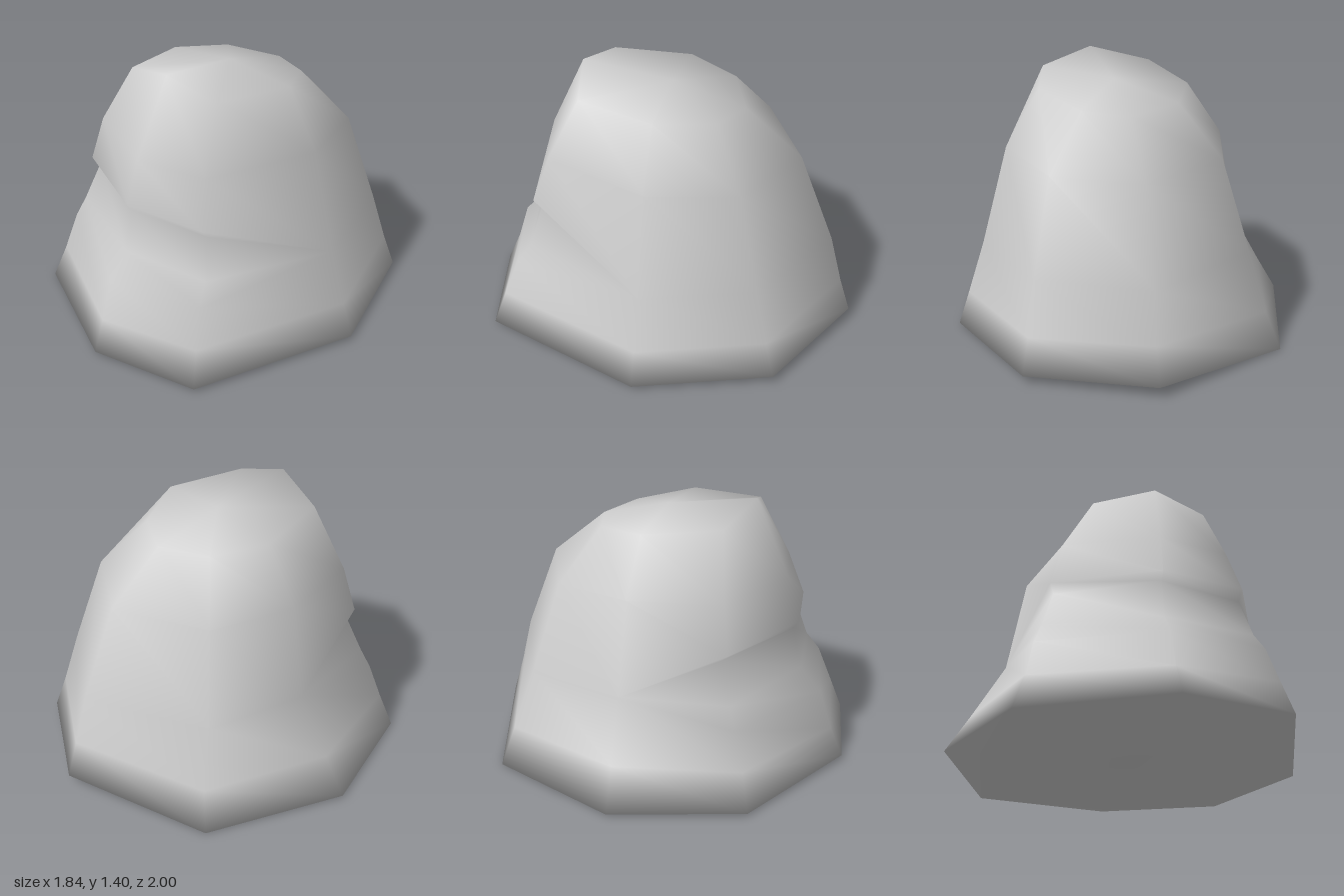
import * as THREE from 'three';
import { mergeVertices } from 'three/addons/utils/BufferGeometryUtils.js';

// Plain profiles, bottom to top: base, foot, waist, shoulder, crown
const back = [[0.08, 0.06, -1], [0.08, 0.25, -0.94], [0.07, 0.51, -0.87], [0.06, 0.98, -0.68], [0.06, 1.23, -0.38]];
const backLeft = [[0.69, 0.04, -0.69], [0.65, 0.22, -0.64], [0.6, 0.5, -0.57], [0.49, 0.98, -0.45], [0.29, 1.25, -0.28]];
const left = [[0.92, 0.02, 0], [0.86, 0.2, 0], [0.77, 0.48, 0], [0.63, 1, 0], [0.45, 1.3, 0]];
const right = [[-0.92, 0.01, 0.04], [-0.8, 0.21, 0.02], [-0.63, 0.51, -0.01], [-0.54, 1, 0], [-0.35, 1.28, 0]];
const backRight = [[-0.67, 0, -0.68], [-0.6, 0.2, -0.63], [-0.53, 0.51, -0.54], [-0.41, 0.98, -0.43], [-0.22, 1.25, -0.27]];

// Front profiles carry the ledge and the overhang above it:
// base, foot, lip, step, under the overhang, overhang, shoulder, crown
const frontLeft = [[0.62, 0.02, 0.86], [0.58, 0.2, 0.8], [0.54, 0.4, 0.73], [0.51, 0.5, 0.66],
  [0.46, 0.71, 0.6], [0.47, 0.76, 0.64], [0.42, 1, 0.56], [0.35, 1.32, 0.41]];
const front = [[0.05, 0.02, 1], [0.04, 0.18, 0.93], [0.04, 0.385, 0.865], [0.04, 0.51, 0.75],
  [0.04, 0.73, 0.7], [0.04, 0.77, 0.73], [0.05, 1, 0.66], [0.07, 1.4, 0.47]];
const frontRight = [[-0.66, 0.01, 0.69], [-0.6, 0.2, 0.64], [-0.56, 0.4, 0.58], [-0.52, 0.51, 0.54],
  [-0.46, 0.72, 0.47], [-0.48, 0.76, 0.51], [-0.42, 1, 0.47], [-0.25, 1.32, 0.4]];

// On the plain profiles the ledge and overhang run out into the waist point
const stretch = (p) => [0, 1, 2, 2, 2, 2, 3, 4].map((i) => p[i]);

function buildRock() {
  const columns = [stretch(back), stretch(backLeft), stretch(left), frontLeft,
    front, frontRight, stretch(right), stretch(backRight)];
  const rows = 8;
  const top = [0.05, 1.33, 0];
  const bottom = [0, 0.02, 0];
  const positions = [];
  const tri = (a, b, c) => {
    if (a !== b && b !== c && a !== c) positions.push(...a, ...b, ...c);
  };

  columns.forEach((p, j) => {
    const q = columns[(j + 1) % columns.length];
    for (let i = 0; i < rows - 1; i++) {
      tri(p[i], p[i + 1], q[i + 1]);
      tri(p[i], q[i + 1], q[i]);
    }
    tri(p[rows - 1], top, q[rows - 1]);
    tri(q[0], bottom, p[0]);
  });

  // Welding the shared corners gives smooth normals all round
  const geometry = new THREE.BufferGeometry();
  geometry.setAttribute('position', new THREE.Float32BufferAttribute(positions, 3));
  const welded = mergeVertices(geometry);
  welded.computeVertexNormals();
  return welded;
}

export function createModel() {
  const group = new THREE.Group();
  group.name = 'boulder';
  const rock = new THREE.Mesh(buildRock(), new THREE.MeshStandardMaterial({ color: 0xcccccc }));
  rock.name = 'rock';
  group.add(rock);
  return group;
}
